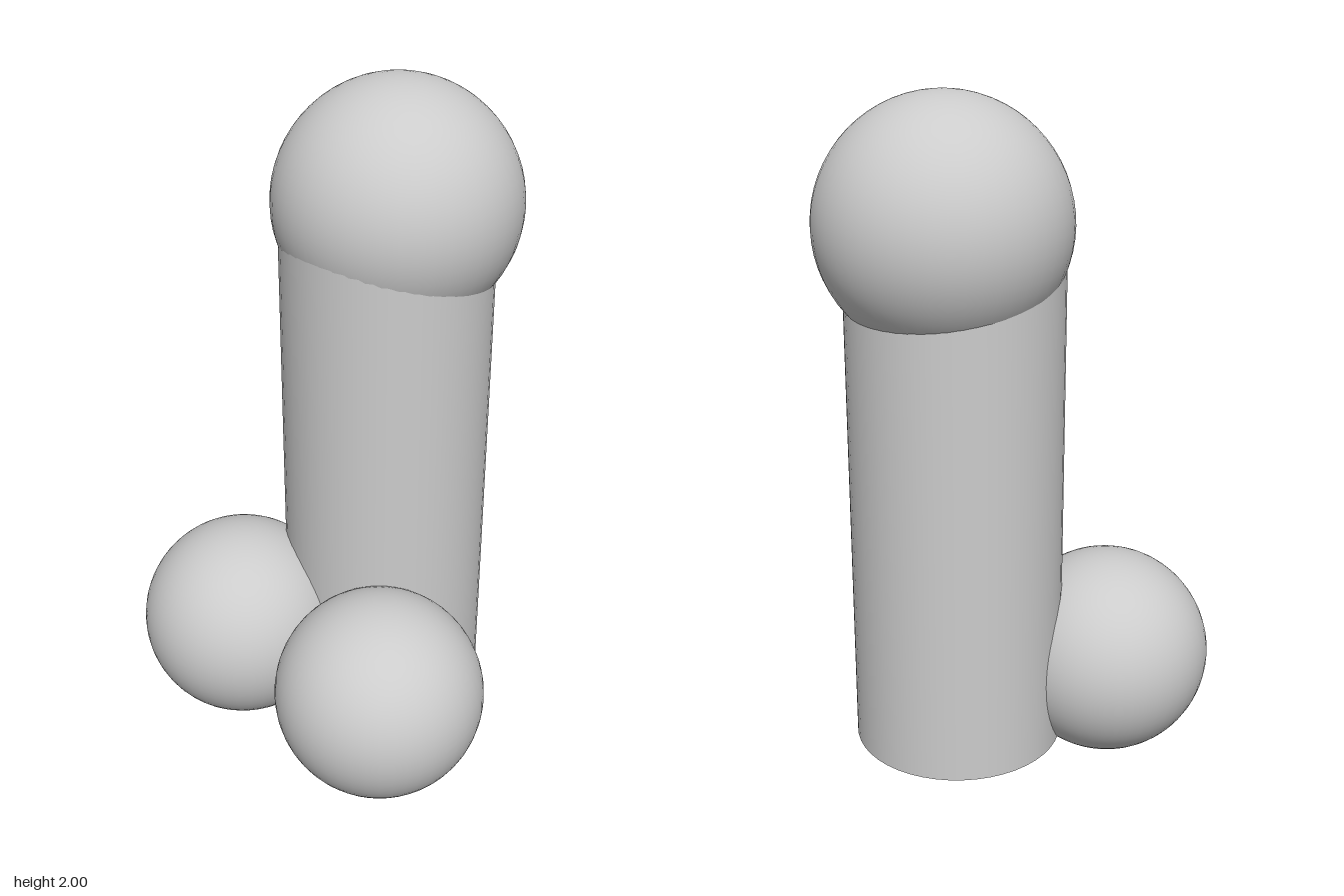
import * as THREE from 'three';

export function createModel() {
  const model = new THREE.Group();
  const material = new THREE.MeshStandardMaterial({ color: 0xcccccc });

  const add = (name, geometry, x, y, z) => {
    const mesh = new THREE.Mesh(geometry, material);
    mesh.name = name;
    mesh.position.set(x, y, z);
    model.add(mesh);
  };
  const ball = (name, radius, x, y, z) =>
    add(name, new THREE.SphereGeometry(radius, 48, 32), x, y, z);

  // Upright column, its top hidden inside the top ball
  const bottom = 0.09, top = 1.64;
  add('column', new THREE.CylinderGeometry(0.307, 0.307, top - bottom, 48), 0.15, (bottom + top) / 2, 0);

  // Ball on top, set slightly off the column's axis
  ball('topBall', 0.355, 0.19, 1.645, 0.003);

  // Two balls beside the foot of the column
  ball('frontBaseBall', 0.308, -0.24, 0.312, 0.28);
  ball('backBaseBall', 0.308, -0.205, 0.312, -0.282);

  return model;
}
